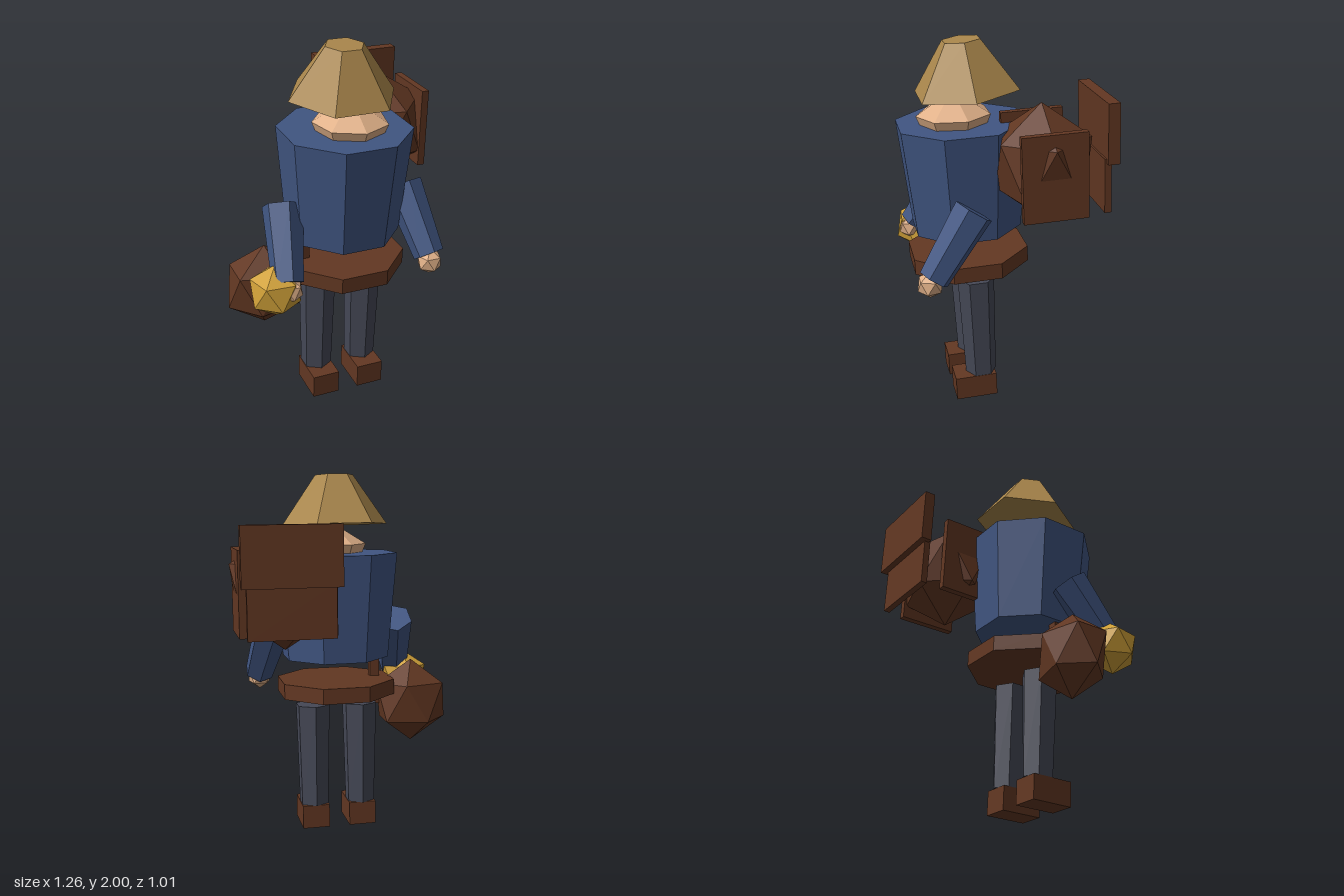
import * as THREE from 'three';

const flat = (name, color) => {
  const m = new THREE.MeshStandardMaterial({ color, flatShading: true });
  m.name = name;
  return m;
};

export function createModel() {
  const brown = flat('brown leather', 0x623722);
  const blue = flat('blue cloth', 0x405581);
  const grey = flat('grey trousers', 0x454856);
  const skin = flat('skin', 0xe0b088);
  const straw = flat('straw', 0xa9864b);
  const gold = flat('lantern gold', 0xcfa038);

  const model = new THREE.Group();
  model.name = 'traveller';
  const LEAN = 0.045; // the whole figure leans slightly forward
  const CX = 0.007;   // body centre line

  function add(name, geometry, material, x, y, z, lean = 0) {
    const mesh = new THREE.Mesh(geometry, material);
    mesh.name = name;
    mesh.position.set(x, y, z);
    mesh.rotation.x = lean;
    model.add(mesh);
    return mesh;
  }

  // Prism with flat sides; turn is the rotation about its axis
  function prism(rTop, rBottom, h, sides, turn = 0) {
    return new THREE.CylinderGeometry(rTop, rBottom, h, sides).rotateY(turn);
  }

  // Icosahedron standing on a corner
  function ball(r, sx = 1, sz = 1, turn = 0) {
    return new THREE.IcosahedronGeometry(r, 0).rotateZ(-0.5536).rotateY(turn).scale(sx, 1, sz);
  }

  // Body
  add('torso', prism(0.355, 0.302, 0.58, 8, Math.PI / 8), blue, 0.008, 1.28, 0.165, LEAN);
  add('belt', prism(0.336, 0.336, 0.085, 8, Math.PI / 8), brown, CX, 0.82, 0.145, LEAN);
  add('bagStrap', new THREE.BoxGeometry(0.055, 0.5, 0.045), brown, -0.222, 0.95, 0.165, LEAN);

  // Head and hat
  const headProfile = [[0, 1.5], [0.165, 1.53], [0.2, 1.615], [0, 1.74]]
    .map(([r, y]) => new THREE.Vector2(r, y - 1.615));
  add('head', new THREE.LatheGeometry(headProfile, 7), skin, 0.022, 1.615, 0.215, LEAN);
  add('hat', prism(0.105, 0.2925, 0.267, 6, Math.PI / 6), straw, CX, 1.86, 0.156, 0.1);

  // Legs, boots, arms and hands, mirrored about the centre line
  const up = new THREE.Vector3(0, 1, 0);
  for (const [side, s] of [['left', 1], ['right', -1]]) {
    add(side + 'Leg', prism(0.101, 0.086, 0.58, 6), grey, CX + s * 0.135, 0.43, 0.113, LEAN);
    add(side + 'Boot', new THREE.BoxGeometry(0.153, 0.132, 0.23), brown, CX + s * 0.135, 0.073, 0.138, LEAN);

    const shoulder = new THREE.Vector3(CX + s * 0.345, 1.19, 0.172);
    const wrist = new THREE.Vector3(CX + s * 0.405, 0.858, 0.393);
    const dir = shoulder.clone().sub(wrist);
    const mid = shoulder.clone().add(wrist).multiplyScalar(0.5);
    const arm = add(side + 'Arm', prism(0.108, 0.083, dir.length(), 6), blue, mid.x, mid.y, mid.z);
    arm.quaternion.setFromUnitVectors(up, dir.normalize());
    add(side + 'Hand', ball(0.072, 1, 1, 0.3), skin, CX + s * 0.4, 0.828, 0.412);
  }

  // Lantern in the right hand and bag on the right hip
  add('lantern', ball(0.145, 1, 1, 0.25), gold, -0.452, 0.81, 0.355);
  add('hipBag', ball(0.238, 0.95, 0.73), brown, -0.43, 0.717, 0.113, LEAN);

  // Backpack with side boards, back board and flap
  add('backpack', ball(0.313, 1, 0.87), brown, 0.343, 1.422, -0.185, LEAN);
  for (const x of [0.115, 0.575]) {
    add('packSideBoard', new THREE.BoxGeometry(0.04, 0.44, 0.33), brown, x, 1.42, -0.185, LEAN);
  }
  add('packBackBoard', new THREE.BoxGeometry(0.445, 0.28, 0.035), brown, 0.345, 1.355, -0.457, LEAN);
  add('packFlap', new THREE.BoxGeometry(0.5, 0.305, 0.06), brown, 0.345, 1.625, -0.467, LEAN);

  return model;
}
